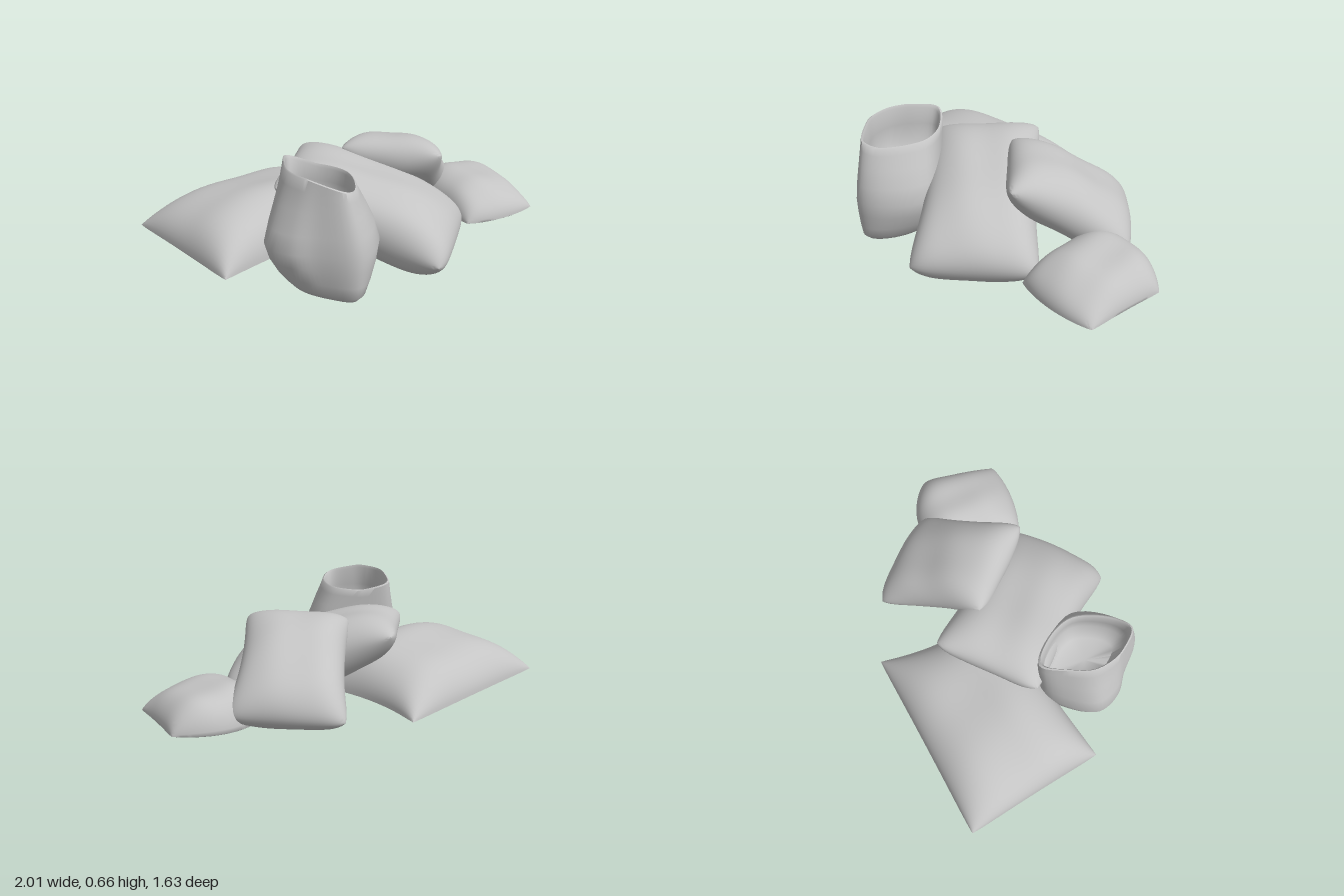
import * as THREE from 'three';
import { mergeGeometries, mergeVertices, toCreasedNormals } from 'three/addons/utils/BufferGeometryUtils.js';

const V = (p) => new THREE.Vector3(...p);

// Stuffed sack spanned by four seam corners; pinch pulls in the edges [u-, u+, v-, v+],
// taper makes it thicker toward u+ and v+.
function sackGeometry({ corners, up, down, pinch, round = 0.04, fold = 0.05, taper = [0, 0] }) {
  const [a, b, c, d] = corners.map(V);
  const uDir = b.clone().add(c).sub(a).sub(d);
  const vDir = c.clone().add(d).sub(a).sub(b);
  const normal = vDir.cross(uDir).normalize();
  const half = (height, side) => {
    const g = new THREE.PlaneGeometry(2, 2, 36, 36);
    const pos = g.attributes.position;
    for (let i = 0; i < pos.count; i++) {
      const u = Math.sin(pos.getX(i) * Math.PI / 2);
      const v = Math.sin(-pos.getY(i) * Math.PI / 2);
      const su = u * (1 - (u < 0 ? pinch[0] : pinch[1]) * (1 - v * v) - round * v ** 8);
      const sv = v * (1 - (v < 0 ? pinch[2] : pinch[3]) * (1 - u * u) - round * u ** 8);
      const p = a.clone().lerp(b, (su + 1) / 2).lerp(d.clone().lerp(c, (su + 1) / 2), (sv + 1) / 2);
      const swell = Math.sqrt(Math.max(0, (1 - Math.abs(u) ** 3) * (1 - Math.abs(v) ** 3)));
      const crumple = 1 + fold * Math.sin(4 * u + 3 * v * side) * Math.cos(3.5 * v - 2 * u);
      p.addScaledVector(normal, side * height * swell * crumple * (1 + taper[0] * u + taper[1] * v));
      pos.setXYZ(i, p.x, p.y, p.z);
    }
    if (side < 0) g.index.array.reverse();
    g.deleteAttribute('uv');
    g.deleteAttribute('normal');
    return g;
  };
  const g = mergeVertices(mergeGeometries([half(up, 1), half(down, -1)]), 1e-5);
  return toCreasedNormals(g, 0.8);
}

// Upright open sack: narrow lens-shaped base, boxy middle, lens-shaped mouth with an inner wall.
function openSackGeometry() {
  const loop = (pts) => new THREE.CatmullRomCurve3(pts.map(([x, z]) => new THREE.Vector3(x, 0, z)), true);
  const base = loop([[0.32, 0.62], [0.31, 0.72], [0.16, 0.73], [0.02, 0.7], [-0.08, 0.63], [-0.14, 0.52], [-0.16, 0.4], [0.02, 0.37], [0.22, 0.44]]);
  const body = loop([[0.36, 0.6], [0.31, 0.73], [0.1, 0.76], [-0.02, 0.78], [-0.15, 0.73], [-0.2, 0.58], [-0.18, 0.4], [0.02, 0.32], [0.28, 0.36]]);
  const mouth = loop([[0.26, 0.6], [0.24, 0.7], [0.1, 0.71], [0.02, 0.69], [-0.08, 0.62], [-0.14, 0.5], [-0.17, 0.36], [0, 0.33], [0.16, 0.39]]);
  const mid = new THREE.Vector3(0.06, 0, 0.54);
  // [height, scale, lower loop, upper loop, blend, rim tilt]
  const rings = [
    [0.05, 0, base, body, 0, 0], [0.05, 0.6, base, body, 0, 0], [0.06, 0.88, base, body, 0, 0],
    [0.09, 0.97, base, body, 0.1, 0], [0.15, 0.99, base, body, 0.45, 0], [0.23, 1, base, body, 0.8, 0],
    [0.31, 1, base, body, 1, 0], [0.4, 1, body, mouth, 0.22, 0], [0.5, 1, body, mouth, 0.58, 0.3],
    [0.58, 1, body, mouth, 0.88, 0.7], [0.625, 0.99, body, mouth, 1, 1], [0.63, 0.95, body, mouth, 1, 1],
    [0.615, 0.91, body, mouth, 1, 1], [0.53, 0.88, body, mouth, 0.9, 0.5], [0.44, 0.84, body, mouth, 0.8, 0],
    [0.37, 0.65, body, mouth, 0.9, 0], [0.35, 0, body, mouth, 1, 0],
  ];
  const n = 54, pos = [], index = [];
  rings.forEach(([y, s, lower, upper, t, tilt], k) => {
    for (let i = 0; i < n; i++) {
      const p = lower.getPoint(i / n).lerp(upper.getPoint(i / n), t).sub(mid).multiplyScalar(s).add(mid);
      const lift = tilt * THREE.MathUtils.clamp(0.24 * (p.z - 0.53) - 0.24 * (p.x - 0.05), -0.03, 0.04);
      pos.push(p.x, y + lift, p.z);
      if (k < rings.length - 1) {
        const j = (i + 1) % n, lo = k * n, hi = lo + n;
        index.push(lo + i, hi + i, lo + j, lo + j, hi + i, hi + j);
      }
    }
  });
  const g = new THREE.BufferGeometry();
  g.setAttribute('position', new THREE.Float32BufferAttribute(pos, 3));
  g.setIndex(index);
  return toCreasedNormals(g, 0.9);
}

export function createModel() {
  const group = new THREE.Group();
  const cloth = new THREE.MeshStandardMaterial({ color: 0xc4c4c4 });
  cloth.name = 'grey sackcloth';
  const add = (name, geometry) => {
    const mesh = new THREE.Mesh(geometry, cloth);
    mesh.name = name;
    group.add(mesh);
  };

  // large sack lying flat, fuller along its inner side
  add('largeFlatSack', sackGeometry({
    corners: [[-0.4, 0.15, -0.49], [0.2, 0.15, -0.05], [-0.33, 0.145, 0.82], [-1.01, 0.155, 0.41]],
    up: 0.245, down: -0.015, pinch: [0.01, 0.08, 0.12, 0.01], round: 0.01, fold: 0.04, taper: [0.17, 0],
  }));

  // thick sack sloping down across the middle
  add('middleSack', sackGeometry({
    corners: [[-0.28, 0.5, -0.2], [0.65, 0.13, -0.25], [0.66, 0.13, 0.43], [-0.25, 0.47, 0.41]],
    up: 0.18, down: 0.2, pinch: [0.03, -0.01, 0.1, 0.1], round: 0.06, taper: [0.17, 0],
  }));

  // sack leaning on the pile at the back
  add('leaningSack', sackGeometry({
    corners: [[-0.11, 0.18, -0.66], [0.51, 0.18, -0.68], [0.55, 0.55, -0.07], [-0.02, 0.55, -0.04]],
    up: 0.15, down: 0.155, pinch: [0.1, 0.12, -0.02, 0.02], round: 0.06,
  }));

  // small rounded sack, thinning to a flat seam at one end
  add('smallSack', sackGeometry({
    corners: [[0.72, 0.14, -0.82], [1.01, 0.13, -0.49], [0.69, 0.13, -0.15], [0.35, 0.13, -0.47]],
    up: 0.17, down: 0.012, pinch: [-0.45, -0.15, 0.03, -0.03], round: 0.02, taper: [-0.22, 0.18],
  }));

  add('openSack', openSackGeometry());
  return group;
}
